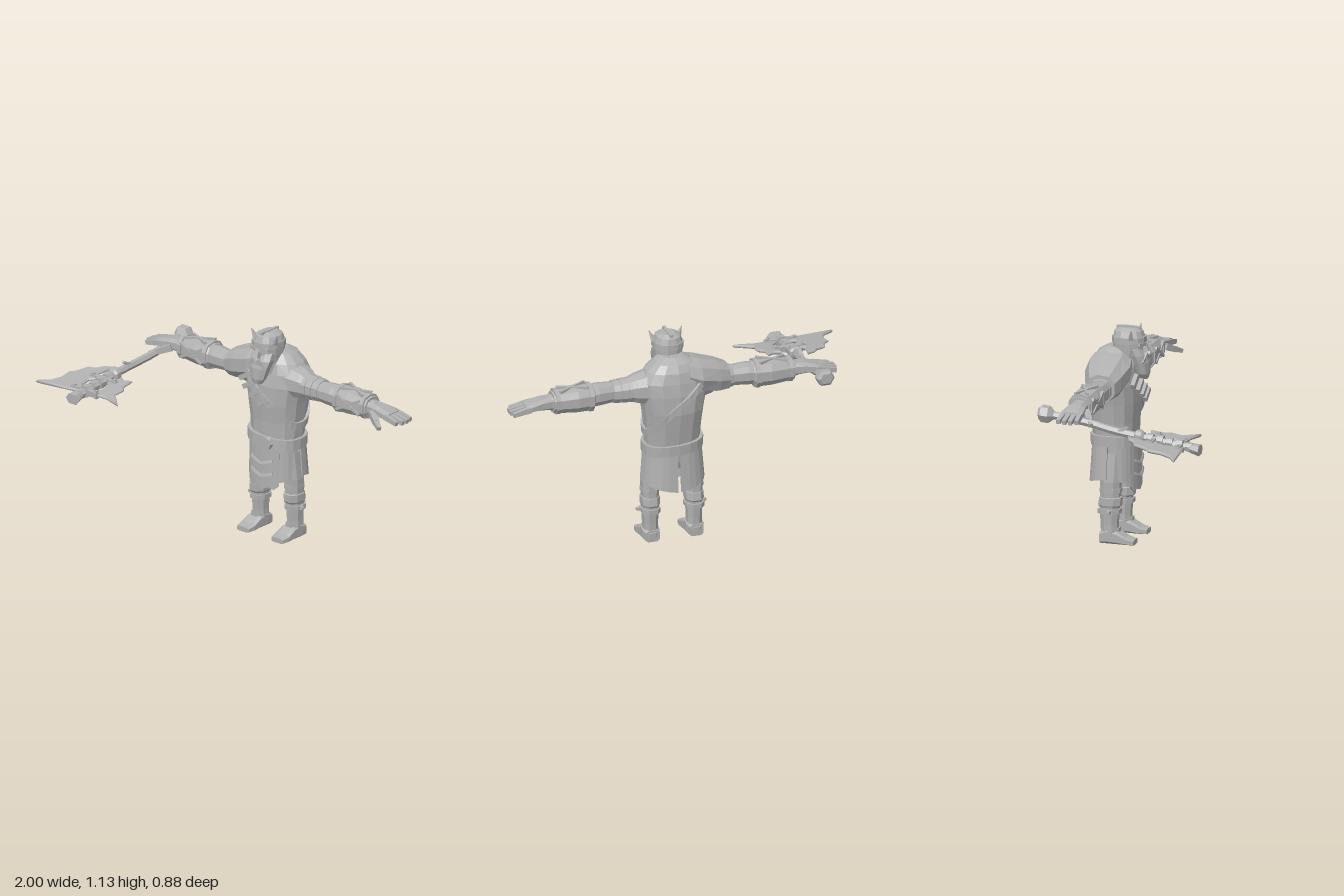
import * as THREE from 'three';

const V = (x, y, z) => new THREE.Vector3(x, y, z);
const grey = new THREE.MeshStandardMaterial({ color: 0xb0b0b0 });
grey.name = 'stone grey';

// Faceted copy of a geometry
function facet(g) {
  const f = g.index ? g.toNonIndexed() : g;
  f.computeVertexNormals();
  return f;
}

// Closed-section skin through rows of points, with end caps or joined ends
function skin(rows, loop = false) {
  const out = [], n = rows[0].length;
  const tri = (...p) => p.forEach(v => out.push(v.x, v.y, v.z));
  const quads = (r, s) => {
    for (let j = 0; j < n; j++) {
      const k = (j + 1) % n;
      tri(r[j], s[j], s[k]);
      tri(r[j], s[k], r[k]);
    }
  };
  for (let i = 0; i + 1 < rows.length; i++) quads(rows[i], rows[i + 1]);
  if (loop) quads(rows[rows.length - 1], rows[0]);
  else {
    [rows[0], rows[rows.length - 1]].forEach((r, end) => {
      const c = r.reduce((a, p) => a.add(p), V(0, 0, 0)).divideScalar(n);
      for (let j = 0; j < n; j++) {
        const a = r[j], b = r[(j + 1) % n];
        end ? tri(c, b, a) : tri(c, a, b);
      }
    });
  }
  const g = new THREE.BufferGeometry();
  g.setAttribute('position', new THREE.Float32BufferAttribute(out, 3));
  return facet(g);
}

// Loft along an axis; each ring is [t, centreU, centreV, radiusU, radiusV]
const sq = (c, p) => Math.sign(c) * Math.abs(c) ** p;
const place = {
  y: (t, u, v) => V(u, t, v),
  x: (t, u, v) => V(t, v, u),
  z: (t, u, v) => V(v, u, t),
};
function loft(axis, rings, n = 10, p = 0.85) {
  return skin(rings.map(([t, cu, cv, ru, rv]) => Array.from({ length: n }, (_, j) => {
    const a = (j + 0.5) / n * Math.PI * 2;
    return place[axis](t, cu + ru * sq(Math.cos(a), p), cv + rv * sq(Math.sin(a), p));
  })));
}

// Bar between two points
function bar(a, b, w, h = w, tip = 1) {
  const g = new THREE.BoxGeometry(w, h, a.distanceTo(b));
  const pos = g.attributes.position;
  for (let i = 0; i < pos.count; i++) {
    if (pos.getZ(i) > 0) pos.setXY(i, pos.getX(i) * tip, pos.getY(i) * tip);
  }
  const o = new THREE.Object3D();
  o.position.copy(a).add(b).multiplyScalar(0.5);
  o.lookAt(b);
  o.updateMatrix();
  return facet(g.applyMatrix4(o.matrix));
}

function mirrored(g) {
  const m = g.clone(), p = m.attributes.position;
  for (let i = 0; i < p.count; i += 3) {
    const t = [0, 2, 1].map(k => V(-p.getX(i + k), p.getY(i + k), p.getZ(i + k)));
    t.forEach((v, k) => p.setXYZ(i + k, v.x, v.y, v.z));
  }
  m.computeVertexNormals();
  return m;
}

// Torso rings: [y, centreX, centreZ, radiusX, radiusZ]
const torso = [
  [0.42, 0, -0.255, 0.13, 0.1], [0.46, 0, -0.257, 0.142, 0.11], [0.54, 0, -0.26, 0.145, 0.112],
  [0.64, 0, -0.265, 0.15, 0.122], [0.74, 0, -0.268, 0.162, 0.135], [0.84, 0, -0.268, 0.18, 0.134],
  [0.91, 0, -0.27, 0.185, 0.122], [0.965, 0, -0.27, 0.15, 0.108], [1.005, 0, -0.27, 0.105, 0.085],
  [1.03, 0, -0.25, 0.06, 0.06],
];
// Point on the torso surface, pushed outward by off
function surf(a, y, off) {
  const h = THREE.MathUtils.clamp(y, 0.46, 1.02);
  const i = Math.max(1, torso.findIndex(r => r[0] >= h));
  const [lo, hi] = [torso[i - 1], torso[i]];
  const k = (h - lo[0]) / (hi[0] - lo[0]);
  const [, , cz, rx, rz] = lo.map((v, j) => v + (hi[j] - v) * k);
  return V((rx + off) * sq(Math.cos(a), 0.85), y, cz + (rz + off) * sq(Math.sin(a), 0.85));
}
// Band or cloth panel wrapped round the torso between two angles in degrees
function wrap(a0, a1, n, top, bottom, offTop, offBottom, thick = 0.02) {
  const full = a1 - a0 === 360;
  const rows = Array.from({ length: full ? n : n + 1 }, (_, i) => {
    const a = (a0 + (a1 - a0) * i / n) * Math.PI / 180;
    const t = top(a), b = bottom(a, i);
    return [surf(a, t, offTop), surf(a, b, offBottom), surf(a, b, offBottom - thick), surf(a, t, offTop - thick)];
  });
  return skin(rows, full);
}

export function createModel() {
  const model = new THREE.Group();
  model.name = 'axeWarrior';
  const body = new THREE.Group();
  body.name = 'body';
  body.position.x = 0.105;
  const axe = new THREE.Group();
  axe.name = 'axe';
  model.add(body, axe);
  const add = (parent, name, g) => {
    const m = new THREE.Mesh(g, grey);
    m.name = name;
    parent.add(m);
  };
  const one = (name, g) => add(body, name, g);
  const both = (name, g) => {
    one(name + 'Left', g);
    one(name + 'Right', mirrored(g));
  };

  // Torso, belt and buckle
  one('torso', loft('y', torso, 14));
  const beltY = a => 0.535 - 0.012 * Math.cos(a);
  one('belt', wrap(0, 360, 20, a => beltY(a) + 0.028, a => beltY(a) - 0.028, 0.016, 0.018));
  const buckle = new THREE.CylinderGeometry(0.032, 0.037, 0.025, 8).rotateX(Math.PI / 2).translate(0.04, 0.53, -0.135);
  one('buckle', facet(buckle));

  // Chest strap running from right shoulder to left hip, with small bottles
  const strapY = a => 0.79 - 0.17 * Math.cos(a);
  one('chestStrap', wrap(0, 360, 28, a => strapY(a) + 0.02, a => strapY(a) - 0.02, 0.012, 0.012));
  [82, 94, 106, 118].forEach(d => {
    const a = d * Math.PI / 180, c = surf(a, strapY(a), 0.025);
    one('strapBottle', bar(c.clone().add(V(-0.035, -0.022, 0)), c.clone().add(V(0.035, 0.022, 0)), 0.022, 0.026));
  });

  // Skirt panels and front cloth
  const waist = () => 0.525;
  one('loincloth', wrap(52, 128, 6, waist, (a, i) => [0.3, 0.275, 0.285, 0.265, 0.28, 0.27, 0.3][i], 0.014, 0.014, 0.012));
  [0.42, 0.35].forEach(y => one('clothFold', wrap(66, 114, 4, a => y + 0.06 * Math.abs(Math.cos(a)), a => y - 0.014 + 0.06 * Math.abs(Math.cos(a)), 0.017, 0.022, 0.012)));
  both('frontSkirt', wrap(5, 54, 4, waist, (a, i) => 0.34 - 0.006 * i, 0.007, 0.012, 0.012));
  both('backSkirt', wrap(272, 358, 6, waist, (a, i) => 0.3 + 0.008 * i, 0.01, 0.028, 0.015));

  // Head, cap and face
  one('head', loft('y', [[0.9, 0, -0.21, 0.07, 0.07], [0.97, 0, -0.2, 0.07, 0.072], [1.02, 0, -0.193, 0.074, 0.082],
    [1.08, 0, -0.193, 0.077, 0.083], [1.115, 0, -0.195, 0.064, 0.072], [1.13, 0, -0.198, 0.038, 0.045]], 12));
  one('capBand', loft('y', [[1.053, 0, -0.192, 0.082, 0.089], [1.085, 0, -0.192, 0.081, 0.088]], 12));
  one('capRidge', bar(V(0, 1.128, -0.13), V(0, 1.128, -0.26), 0.018, 0.015));
  one('beard', loft('y', [[0.862, 0, -0.11, 0.022, 0.02], [0.89, 0, -0.112, 0.045, 0.03], [0.95, 0, -0.125, 0.062, 0.042],
    [0.99, 0, -0.14, 0.072, 0.045], [1.03, 0, -0.155, 0.073, 0.035]], 9));
  one('nose', bar(V(0, 1.05, -0.115), V(0, 1.005, -0.1), 0.022, 0.025, 1.5));
  one('mouth', bar(V(-0.035, 0.977, -0.098), V(0.035, 0.977, -0.098), 0.02, 0.013));
  both('brow', bar(V(0.008, 1.045, -0.108), V(0.06, 1.053, -0.125), 0.02, 0.016));
  both('moustache', bar(V(0.01, 0.995, -0.098), V(0.055, 0.955, -0.105), 0.025, 0.025, 0.5));
  both('horn', bar(V(0.066, 1.08, -0.165), V(0.09, 1.132, -0.155), 0.026, 0.026, 0.1));

  // Arms: shoulder, wraps, elbow, bracer, hand
  both('arm', loft('x', [[0.1, -0.265, 0.87, 0.1, 0.1], [0.2, -0.26, 0.866, 0.074, 0.078], [0.23, -0.255, 0.863, 0.062, 0.066],
    [0.33, -0.25, 0.86, 0.052, 0.054], [0.41, -0.253, 0.86, 0.058, 0.06], [0.46, -0.257, 0.857, 0.056, 0.058],
    [0.64, -0.26, 0.855, 0.048, 0.048], [0.69, -0.26, 0.855, 0.042, 0.036]]));
  [[0.215, 0.067], [0.255, 0.065], [0.295, 0.061]].forEach(([x, r]) =>
    both('armWrap', loft('x', [[x, -0.255, 0.862, r, r], [x + 0.033, -0.253, 0.861, r - 0.003, r - 0.003]])));
  both('bracer', loft('x', [[0.435, -0.258, 0.858, 0.06, 0.06], [0.45, -0.26, 0.857, 0.07, 0.071], [0.53, -0.263, 0.857, 0.073, 0.07],
    [0.62, -0.262, 0.856, 0.063, 0.062], [0.66, -0.262, 0.856, 0.057, 0.056]]));
  [[0.445, 0.076], [0.625, 0.067]].forEach(([x, r]) =>
    both('bracerRim', loft('x', [[x, -0.261, 0.857, r, r], [x + 0.024, -0.261, 0.857, r, r]])));
  [-1, 1].forEach(s => {
    both('bracerLace', bar(V(0.47, 0.857 - s * 0.04, -0.193), V(0.625, 0.857 + s * 0.038, -0.2), 0.014));
    both('bracerTopLace', bar(V(0.47, 0.926, -0.262 - s * 0.04), V(0.625, 0.918, -0.262 + s * 0.035), 0.014));
  });
  both('palm', loft('x', [[0.66, -0.26, 0.856, 0.045, 0.037], [0.72, -0.26, 0.857, 0.053, 0.032],
    [0.78, -0.262, 0.852, 0.061, 0.024], [0.81, -0.262, 0.846, 0.06, 0.02]], 8, 0.7));
  [-0.305, -0.276, -0.247, -0.22].forEach((z, i) => {
    const reach = [0.885, 0.893, 0.893, 0.875][i];
    both('finger', bar(V(0.79, 0.849, z), V(reach, 0.832, z - 0.004 + i * 0.004), 0.027, 0.03, 0.75));
  });
  both('thumb', bar(V(0.7, 0.848, -0.215), V(0.765, 0.82, -0.178), 0.036, 0.036, 0.85));
  both('thumbTip', bar(V(0.755, 0.825, -0.182), V(0.805, 0.803, -0.155), 0.028, 0.028, 0.75));

  // Hide over the right shoulder
  one('shoulderPad', loft('x', [[-0.3, -0.255, 0.868, 0.078, 0.074], [-0.24, -0.26, 0.882, 0.1, 0.088],
    [-0.13, -0.268, 0.913, 0.125, 0.092], [-0.06, -0.27, 0.94, 0.115, 0.08]], 9));

  // Legs with knee cuffs, boots and side spikes
  const c = 0.12;
  both('leg', loft('y', [[0.03, c, -0.262, 0.042, 0.045], [0.1, c, -0.262, 0.04, 0.047], [0.17, c, -0.262, 0.043, 0.052],
    [0.25, c, -0.257, 0.045, 0.055], [0.33, c, -0.255, 0.048, 0.056], [0.48, c - 0.03, -0.255, 0.065, 0.075]], 8));
  both('kneeCuff', loft('y', [[0.195, c, -0.26, 0.046, 0.056], [0.205, c, -0.259, 0.05, 0.064], [0.245, c, -0.255, 0.05, 0.061], [0.25, c, -0.255, 0.042, 0.05]], 8));
  both('shinBand', loft('y', [[0.16, c, -0.262, 0.053, 0.062], [0.184, c, -0.262, 0.053, 0.062]], 8));
  both('shinSpike', bar(V(c + 0.04, 0.172, -0.25), V(c + 0.073, 0.176, -0.25), 0.024, 0.024, 0.5));
  both('kneeStrap', loft('y', [[0.275, c, -0.256, 0.05, 0.059], [0.295, c, -0.256, 0.05, 0.059]], 8));
  both('ankleStrap', skin([0.045, 0.068].map(y => Array.from({ length: 8 }, (_, j) => {
    const a = (j + 0.5) * Math.PI / 4;
    return V(c + 0.05 * Math.cos(a), y + 0.018 * Math.sin(a), -0.26 + 0.057 * Math.sin(a));
  }))));
  both('foot', loft('z', [[-0.308, 0.032, c, 0.032, 0.04], [-0.27, 0.04, c, 0.04, 0.046], [-0.215, 0.035, c, 0.035, 0.048],
    [-0.165, 0.02, c, 0.02, 0.05], [-0.123, 0.014, c, 0.014, 0.042]], 8, 0.5));

  // Axe haft, pommel, collars and thorn
  const path = [V(-0.685, 0.845, -0.4), V(-0.672, 0.81, -0.17), V(-0.688, 0.787, -0.05), V(-0.7, 0.765, 0.11), V(-0.7, 0.722, 0.42)];
  add(axe, 'haft', facet(new THREE.TubeGeometry(new THREE.CatmullRomCurve3(path), 12, 0.021, 6)));
  add(axe, 'pommel', loft('z', [[-0.44, 0.848, -0.683, 0.03, 0.034], [-0.425, 0.846, -0.683, 0.045, 0.048],
    [-0.385, 0.842, -0.683, 0.045, 0.048], [-0.36, 0.838, -0.682, 0.022, 0.024]], 6));
  add(axe, 'collar', loft('z', [[0.085, 0.767, -0.7, 0.026, 0.028], [0.095, 0.766, -0.7, 0.036, 0.037],
    [0.122, 0.762, -0.7, 0.036, 0.037], [0.135, 0.76, -0.7, 0.026, 0.028]], 8));
  add(axe, 'thorn', bar(V(-0.695, 0.785, 0.0), V(-0.698, 0.812, 0.045), 0.03, 0.022, 0.5));
  const along = z => 0.765 - 0.14 * (z - 0.11);
  [[0.15, 0.031], [0.205, 0.034], [0.255, 0.03], [0.31, 0.035], [0.36, 0.028]].forEach(([z, r]) =>
    add(axe, 'binding', loft('z', [[z, along(z), -0.7, r - 0.004, r], [z + 0.035, along(z + 0.035), -0.7, r, r - 0.004]], 7)));
  add(axe, 'haftEnd', loft('z', [[0.38, along(0.38), -0.7, 0.024, 0.026], [0.436, along(0.436) - 0.002, -0.7, 0.03, 0.045]], 6));

  // Jagged blades lying along the haft
  const blade = (name, pts) => {
    const g = new THREE.ExtrudeGeometry(new THREE.Shape(pts.map(([x, z]) => new THREE.Vector2(x, z))),
      { depth: 0.006, bevelEnabled: true, bevelThickness: 0.006, bevelSize: 0.008, bevelOffset: -0.008, bevelSegments: 1 });
    add(axe, name, facet(g.rotateX(Math.PI / 2 + 0.14).translate(0, 0.783, 0)));
  };
  blade('largeBlade', [[-1, 0.39], [-0.94, 0.345], [-0.915, 0.29], [-0.92, 0.22], [-0.895, 0.2], [-0.87, 0.13], [-0.825, 0.115],
    [-0.8, 0.08], [-0.75, 0.06], [-0.77, 0.15], [-0.735, 0.19], [-0.73, 0.21], [-0.765, 0.235], [-0.765, 0.29], [-0.72, 0.32], [-0.71, 0.355], [-0.8, 0.37]]);
  blade('smallBlade', [[-0.67, 0.2], [-0.645, 0.18], [-0.635, 0.13], [-0.6, 0.145], [-0.56, 0.13], [-0.555, 0.2], [-0.53, 0.23],
    [-0.535, 0.29], [-0.445, 0.37], [-0.55, 0.345], [-0.68, 0.35], [-0.67, 0.32], [-0.635, 0.29], [-0.64, 0.23]]);
  [0.19, 0.335].forEach(z => [-1, 1].forEach(s => {
    const y = along(z);
    add(axe, 'bladeClamp', bar(V(-0.7, y, z), V(-0.7 + s * 0.09, y, z + 0.005), 0.026, 0.034, 0.8));
    add(axe, 'rivet', bar(V(-0.7 + s * 0.075, y - 0.022, z), V(-0.7 + s * 0.075, y + 0.022, z), 0.016));
  }));
  return model;
}
